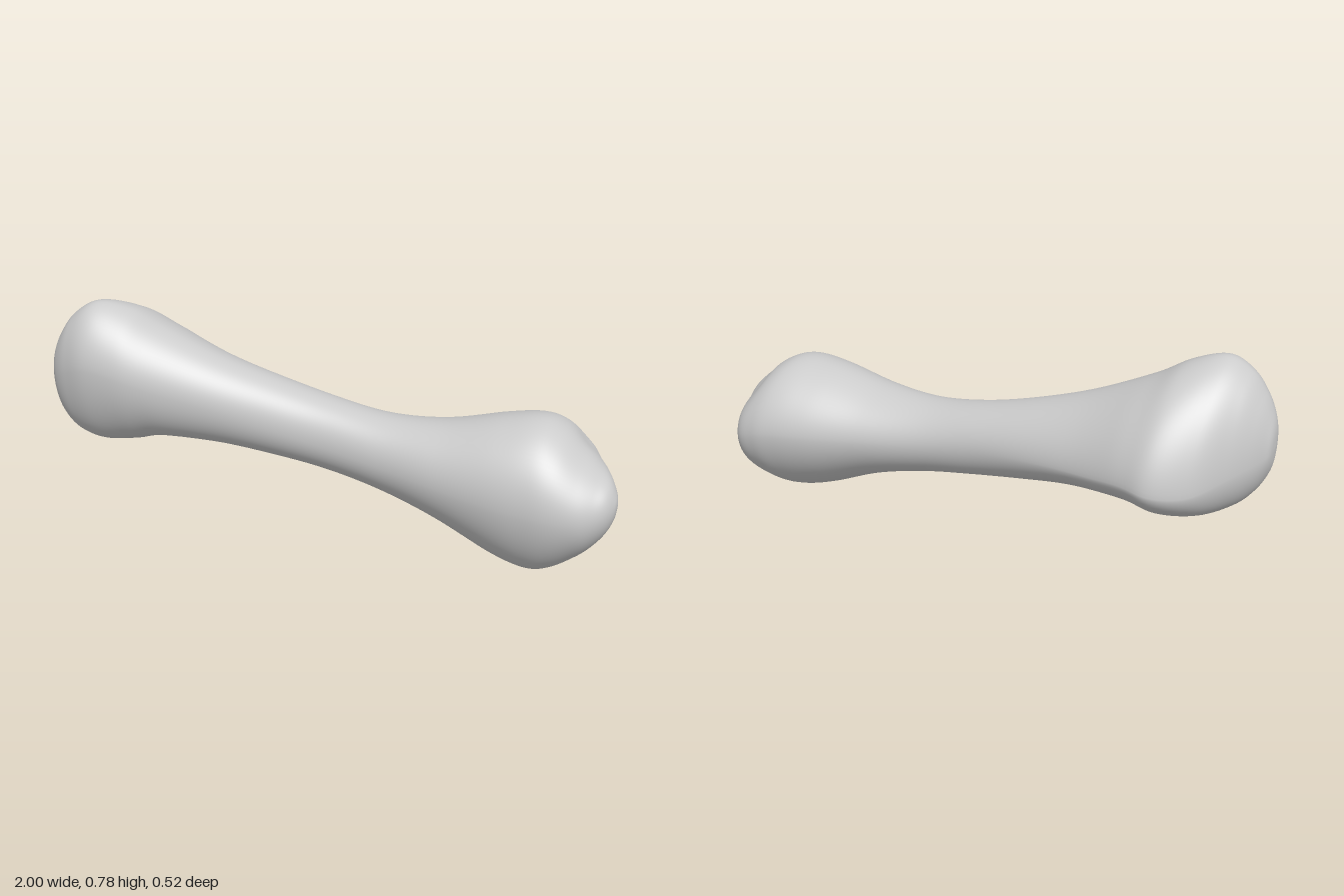
import * as THREE from 'three';
import { mergeVertices } from 'three/addons/utils/BufferGeometryUtils.js';

// Outline of the bone along its length: x, top y, bottom y, back z, front z
const OUTLINE = [
  [-1.0, 0.5, 0.5, 0.1, 0.1],
  [-0.995, 0.56, 0.44, 0.06, 0.14],
  [-0.98, 0.61, 0.39, 0.03, 0.175],
  [-0.95, 0.67, 0.335, -0.02, 0.208],
  [-0.9, 0.735, 0.285, -0.09, 0.235],
  [-0.82, 0.778, 0.255, -0.19, 0.256],
  [-0.71, 0.752, 0.26, -0.255, 0.247],
  [-0.6, 0.69, 0.283, -0.24, 0.22],
  [-0.4, 0.6, 0.28, -0.185, 0.17],
  [-0.2, 0.535, 0.255, -0.15, 0.135],
  [0.0, 0.485, 0.225, -0.133, 0.12],
  [0.2, 0.455, 0.185, -0.137, 0.138],
  [0.4, 0.465, 0.125, -0.175, 0.18],
  [0.6, 0.51, 0.037, -0.235, 0.22],
  [0.72, 0.525, 0.003, -0.26, 0.231],
  [0.8, 0.5, 0.018, -0.262, 0.229],
  [0.88, 0.44, 0.07, -0.235, 0.212],
  [0.93, 0.395, 0.125, -0.13, 0.187],
  [0.97, 0.36, 0.185, -0.03, 0.155],
  [0.993, 0.32, 0.24, 0.035, 0.115],
  [1.0, 0.29, 0.29, 0.08, 0.08],
];

// Section character: x, then where the top and bottom ridges sit (0 back, 1 front),
// where the front and back ridges sit (0 bottom, 1 top), then the sharpness of the
// four quadrants: top-front, front-bottom, bottom-back, back-top
const CHARACTER = [
  [-1.0, 0.6, 0.6, 0.55, 0.4, 1, 1, 1, 1],
  [-0.8, 0.66, 0.62, 0.6, 0.29, 1.05, 1.05, 1.15, 1.2],
  [-0.55, 0.62, 0.6, 0.55, 0.35, 1, 1, 1.15, 1.15],
  [0.0, 0.55, 0.5, 0.5, 0.5, 0.95, 1, 1, 1],
  [0.7, 0.53, 0.65, 0.52, 0.57, 1, 1.1, 1.07, 1.08],
  [1.0, 0.5, 0.55, 0.5, 0.5, 1, 1, 1, 1],
];

const { lerp, smoothstep } = THREE.MathUtils;

function characterAt(x) {
  let i = 0;
  while (i < CHARACTER.length - 2 && x > CHARACTER[i + 1][0]) i++;
  const a = CHARACTER[i], b = CHARACTER[i + 1];
  const t = smoothstep(x, a[0], b[0]);
  return a.slice(1).map((v, k) => lerp(v, b[k + 1], t));
}

function spline(cols) {
  const pts = OUTLINE.map((r) => new THREE.Vector3(...cols.map((c) => r[c])));
  return new THREE.CatmullRomCurve3(pts, false, 'catmullrom', 0.5);
}

// One cross-section, four curved quadrants running top, front, bottom, back
function section(x, top, bottom, back, front, perQuadrant) {
  const [ft, fb, ff, fk, ...sharp] = characterAt(x);
  const ridges = [
    [lerp(back, front, ft), top],
    [front, lerp(bottom, top, ff)],
    [lerp(back, front, fb), bottom],
    [back, lerp(bottom, top, fk)],
  ];
  const ring = [];
  for (let q = 0; q < 4; q++) {
    const a = ridges[q], b = ridges[(q + 1) % 4];
    for (let k = 0; k < perQuadrant; k++) {
      const ang = (k / perQuadrant) * Math.PI / 2;
      const c = Math.cos(ang) ** sharp[q], s = Math.sin(ang) ** sharp[q];
      // odd quadrants leave a side ridge, even ones leave the top or bottom ridge
      ring.push(q % 2 === 0
        ? [lerp(a[0], b[0], s), lerp(b[1], a[1], c)]
        : [lerp(b[0], a[0], c), lerp(a[1], b[1], s)]);
    }
  }
  return ring;
}

function boneGeometry(rows = 160, perQuadrant = 20) {
  const heights = spline([0, 1, 2]), depths = spline([0, 3, 4]);
  const n = perQuadrant * 4, positions = [], index = [];
  const groove = new THREE.Vector3(0.875, 0.4, -0.1);
  for (let i = 0; i <= rows; i++) {
    const h = heights.getPoint(i / rows), d = depths.getPoint(i / rows);
    for (const [z, y] of section(h.x, h.y, h.z, d.y, d.z, perQuadrant)) {
      // shallow groove on the upper back of the lower knuckle
      const dx = (h.x - groove.x) / 0.05, dy = (y - groove.y) / 0.1, dz = (z - groove.z) / 0.09;
      const dent = 0.014 * Math.exp(-dx * dx - dy * dy - dz * dz);
      positions.push(h.x - dent * 0.6, y - dent, z + dent * 0.6);
    }
  }
  for (let i = 0; i < rows; i++) {
    for (let j = 0; j < n; j++) {
      const a = i * n + j, b = i * n + (j + 1) % n;
      if (i > 0) index.push(a, b, a + n);
      if (i < rows - 1) index.push(b, b + n, a + n);
    }
  }
  let geo = new THREE.BufferGeometry();
  geo.setAttribute('position', new THREE.Float32BufferAttribute(positions, 3));
  geo.setIndex(index);
  geo = mergeVertices(geo, 1e-5);
  geo.computeVertexNormals();
  return geo;
}

export function createModel() {
  const group = new THREE.Group();
  group.name = 'bone';
  const bone = new THREE.Mesh(boneGeometry(), new THREE.MeshStandardMaterial({ color: 0xcccccc }));
  bone.name = 'boneShaftAndEnds';
  group.add(bone);
  return group;
}
